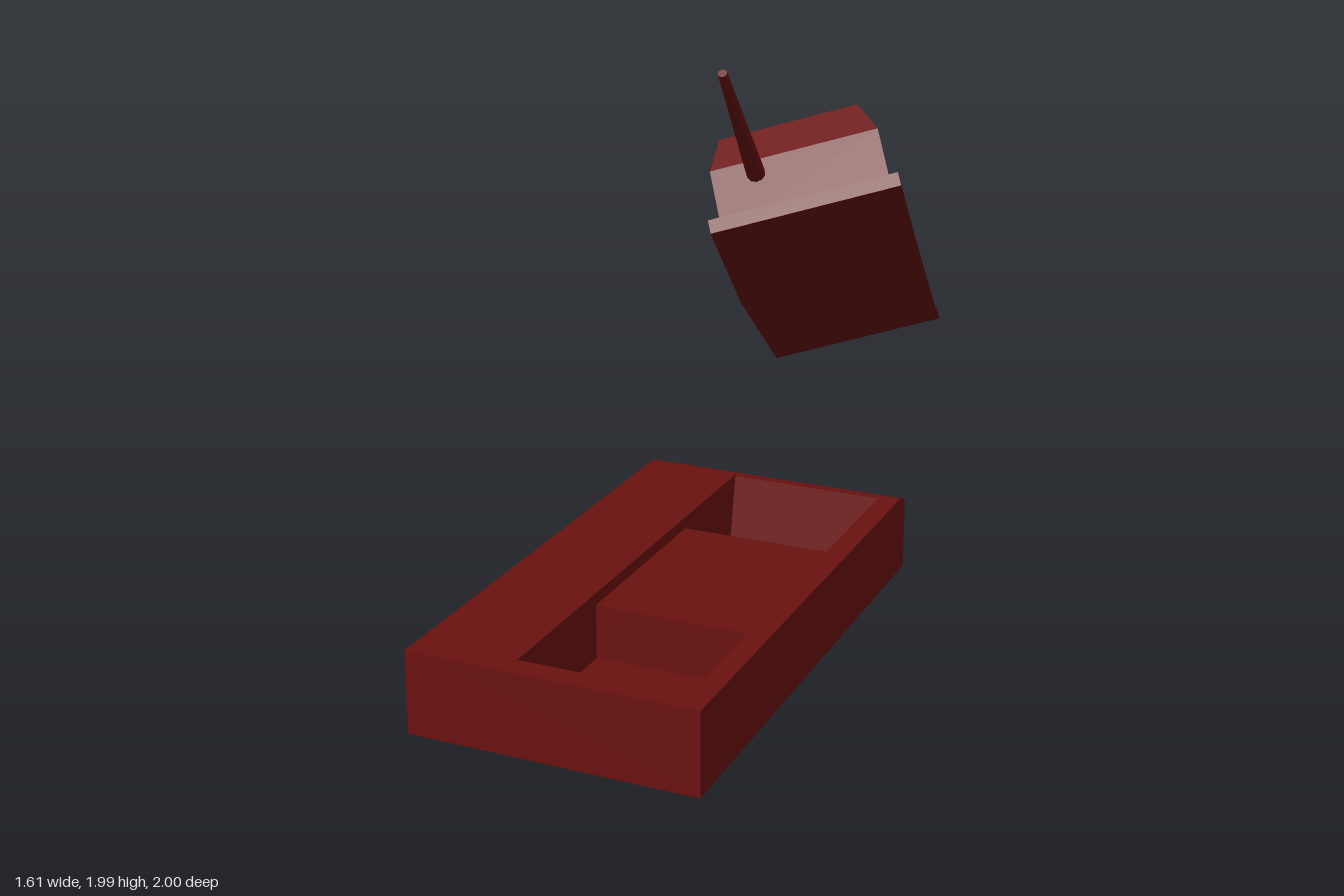
import * as THREE from 'three';

const red = new THREE.MeshStandardMaterial({ color: 0x6b1210 });

function add(parent, name, geometry) {
  const mesh = new THREE.Mesh(geometry, red);
  mesh.name = name;
  parent.add(mesh);
  return mesh;
}

// Extrudes a side profile of [z, y] points across the width x0..x1
function sideExtrude(points, x0, x1) {
  const shape = new THREE.Shape(points.map(([z, y]) => new THREE.Vector2(z, y)));
  const geo = new THREE.ExtrudeGeometry(shape, { depth: x1 - x0, bevelEnabled: false });
  geo.rotateY(-Math.PI / 2);
  geo.translate(x1, 0, 0);
  return geo;
}

// Rectangle in plan: x0..x1 and z0..z1 (drawn as x, -z)
function planRect(Type, x0, x1, z0, z1) {
  return new Type([[x0, -z0], [x0, -z1], [x1, -z1], [x1, -z0]].map(p => new THREE.Vector2(...p)));
}

function createBase() {
  const base = new THREE.Group();
  base.name = 'base';
  const W = 0.471, L = 0.888, H = 0.27, back = -0.836;
  const rx0 = -0.14, rx1 = 0.4, rz0 = -0.82, rz1 = 0.81;

  // Case with a rectangular recess
  const outline = planRect(THREE.Shape, -W, W, back, L);
  outline.holes.push(planRect(THREE.Path, rx0, rx1, rz0, rz1));
  const caseGeo = new THREE.ExtrudeGeometry(outline, { depth: H, bevelEnabled: false });
  caseGeo.rotateX(-Math.PI / 2);
  add(base, 'baseCase', caseGeo);

  // Back edge, rounded off at the top
  add(base, 'baseBackEdge', sideExtrude(
    [[back, 0], [back, H], [-0.862, 0.262], [-0.882, 0.248], [-L, 0.235], [-L, 0]], -W, W));

  // Recess floor with the raised rest and sloping ends
  add(base, 'cradle', sideExtrude(
    [[rz1, 0], [rz1, 0.05], [0.3, 0.05], [0.3, 0.23], [-0.38, 0.23],
      [-0.78, 0.05], [rz0, 0.265], [rz0, 0]], rx0, rx1));

  base.position.x = -0.045;
  base.rotation.y = -0.365;
  return base;
}

function createHandset() {
  const handset = new THREE.Group();
  handset.name = 'handset';
  const mid = 0.75;

  // Curved back plate, a little wider than the body
  add(handset, 'backPlate', sideExtrude(
    [[0.56, 1.432], [0.275, 1.142], [-0.35, 0.758], [-0.67, 0.659],
      [-0.685, 0.7], [-0.34, 0.794], [0.262, 1.178], [0.535, 1.465]], mid - 0.27, mid + 0.27));

  // Body with earpiece and mouthpiece
  const body = sideExtrude(
    [[0.51, 1.42], [0.39, 1.567], [0.285, 1.627], [0.05, 1.38], [0.115, 1.255],
      [-0.47, 0.935], [-0.71, 0.905], [-0.735, 0.875], [-0.72, 0.735], [-0.675, 0.69],
      [-0.34, 0.78], [0.27, 1.165]], mid - 0.243, mid + 0.243);
  // Narrow the top of the earpiece
  const p = body.attributes.position;
  for (let i = 0; i < p.count; i++) {
    const z = p.getZ(i), y = p.getY(i);
    if (z > 0 && z < 0.3 && y > 1.35) p.setX(i, mid + (p.getX(i) - mid) * 0.835);
  }
  body.computeVertexNormals();
  add(handset, 'body', body);

  // Keypad: four rows of three keys on the sloping front
  const slope = 0.547;
  const keyGeo = new THREE.BoxGeometry(0.128, 0.04, 0.08);
  for (let row = 0; row < 4; row++) {
    for (let col = -1; col <= 1; col++) {
      const key = add(handset, 'key', keyGeo);
      const z = -0.345 + row * 0.0905;
      key.position.set(0.74 + col * 0.152, 1.255 - slope * (0.115 - z), z);
      key.rotation.x = -Math.atan(slope);
    }
  }

  handset.rotation.z = 0.268;
  return handset;
}

function createAntenna() {
  const foot = new THREE.Vector3(0.205, 1.645, 0.415);
  const tip = new THREE.Vector3(0.12, 1.983, 0.715);
  const dir = tip.clone().sub(foot);
  const antenna = new THREE.Group();
  antenna.name = 'antenna';
  add(antenna, 'antennaRod', new THREE.CylinderGeometry(0.013, 0.027, dir.length(), 10));
  antenna.position.copy(foot).addScaledVector(dir, 0.5);
  antenna.quaternion.setFromUnitVectors(new THREE.Vector3(0, 1, 0), dir.normalize());
  return antenna;
}

export function createModel() {
  const model = new THREE.Group();
  model.name = 'cordlessPhone';
  model.add(createBase(), createHandset(), createAntenna());
  return model;
}
